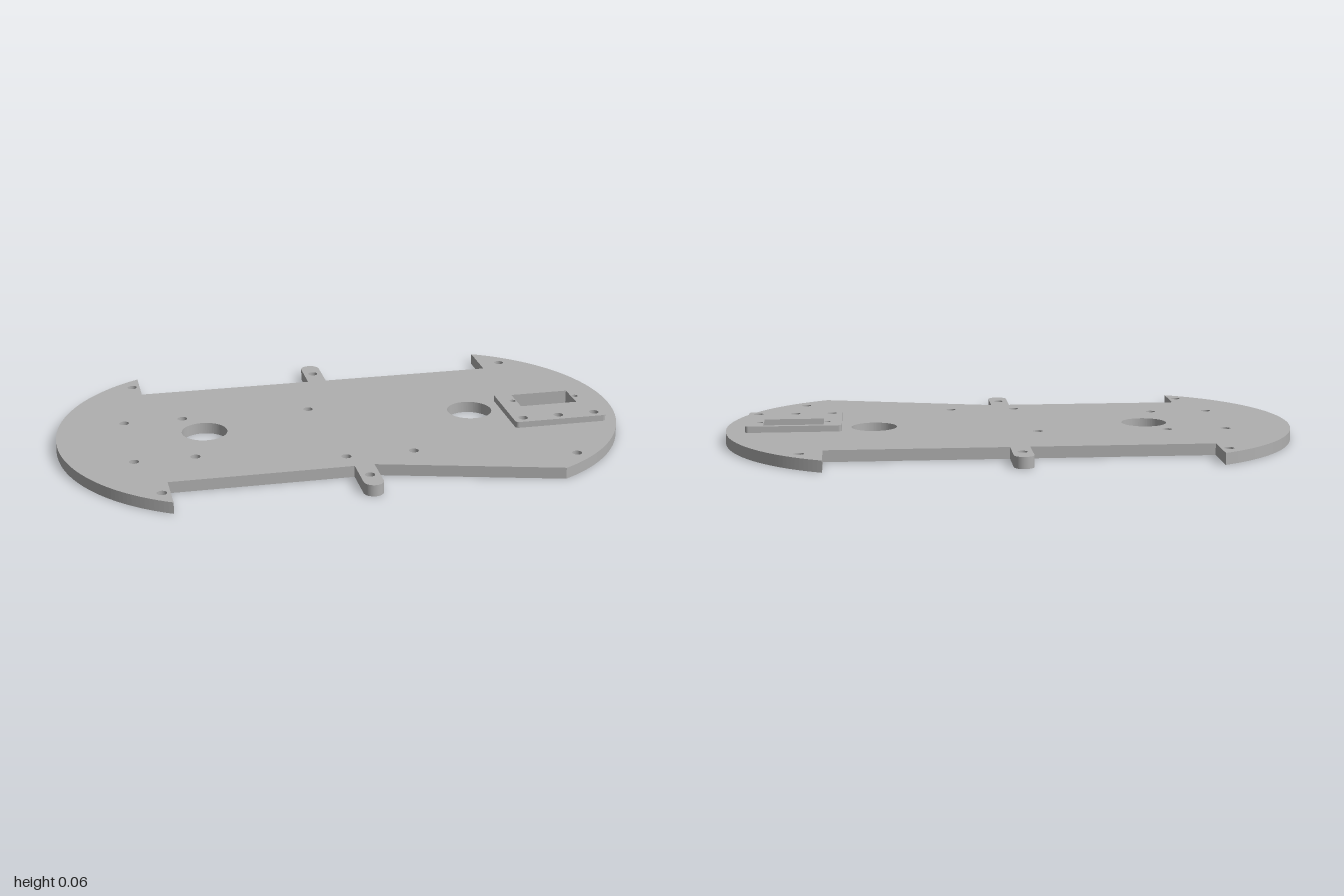
import * as THREE from 'three';

const PLATE = 0.04, PAD = 0.022;

// Shapes are drawn in plan with y = -z, then laid flat.
function circle(x, z, r) {
  const p = new THREE.Path();
  p.absarc(x, -z, r, 0, Math.PI * 2, true);
  return p;
}

function slot() {
  const p = new THREE.Path();
  p.moveTo(0.658, -0.057);
  p.lineTo(0.658, 0.057);
  p.lineTo(0.868, 0.057);
  p.lineTo(0.868, -0.057);
  p.closePath();
  return p;
}

// Cut-outs shared by the plate and the servo pad
function padHoles() {
  return [
    slot(),
    circle(0.645, 0, 0.011), circle(0.882, 0, 0.011),
    ...[0.632, 0.763, 0.896].map(x => circle(x, 0.163, 0.017)),
  ];
}

function slab(name, shape, height, y, material) {
  const geo = new THREE.ExtrudeGeometry(shape, { depth: height, bevelEnabled: false, curveSegments: 40 });
  geo.rotateX(-Math.PI / 2);
  const mesh = new THREE.Mesh(geo, material);
  mesh.name = name;
  mesh.position.y = y;
  return mesh;
}

// Outline: two circular end caps, straight notched sides and a rounded tab on each side
function plateShape() {
  const R = 0.639, cx = 1 - R, cutL = -0.662, cutR = 0.655, side = 0.403;
  const tab = 0.034, tabEnd = 0.57 - tab;
  const aR = Math.acos((cutR - cx) / R), aL = Math.acos((-cutL - cx) / R);
  const s = new THREE.Shape();
  s.moveTo(cutR, -side);
  s.absarc(cx, 0, R, -aR, aR, false);
  s.lineTo(cutR, side);
  s.lineTo(tab, side);
  s.absarc(0, tabEnd, tab, 0, Math.PI, false);
  s.lineTo(-tab, side);
  s.lineTo(cutL, side);
  s.absarc(-cx, 0, R, Math.PI - aL, Math.PI + aL, false);
  s.lineTo(cutL, -side);
  s.lineTo(-tab, -side);
  s.absarc(0, -tabEnd, tab, Math.PI, Math.PI * 2, false);
  s.lineTo(tab, -side);
  s.closePath();

  // Wheel and cable openings, then screw holes
  s.holes.push(circle(-0.484, 0, 0.08), circle(0.481, 0, 0.08));
  const screws = [
    [-0.753, -0.135], [-0.545, -0.135], [-0.753, 0.213], [-0.545, 0.213],
    [-0.088, -0.131], [-0.044, 0.318], [0.192, 0.318],
  ];
  for (const k of [-1, 1]) screws.push([-0.69, k * 0.483], [0, k * 0.483], [0.732, k * 0.453]);
  for (const [x, z] of screws) s.holes.push(circle(x, z, 0.017));
  s.holes.push(...padHoles());
  return s;
}

// Raised rectangular pad with slightly rounded corners
function padShape() {
  const x0 = 0.595, x1 = 0.93, y0 = -0.2, y1 = 0.077, r = 0.012, q = Math.PI / 2;
  const s = new THREE.Shape();
  s.moveTo(x0 + r, y0);
  s.absarc(x1 - r, y0 + r, r, -q, 0, false);
  s.absarc(x1 - r, y1 - r, r, 0, q, false);
  s.absarc(x0 + r, y1 - r, r, q, 2 * q, false);
  s.absarc(x0 + r, y0 + r, r, 2 * q, 3 * q, false);
  s.holes.push(...padHoles());
  return s;
}

export function createModel() {
  const grey = new THREE.MeshStandardMaterial({ color: 0xb0b0b0 });
  grey.name = 'plain grey';
  const model = new THREE.Group();
  model.name = 'chassisPlate';
  model.add(slab('basePlate', plateShape(), PLATE, 0, grey));
  model.add(slab('servoPad', padShape(), PAD, PLATE, grey));
  return model;
}
